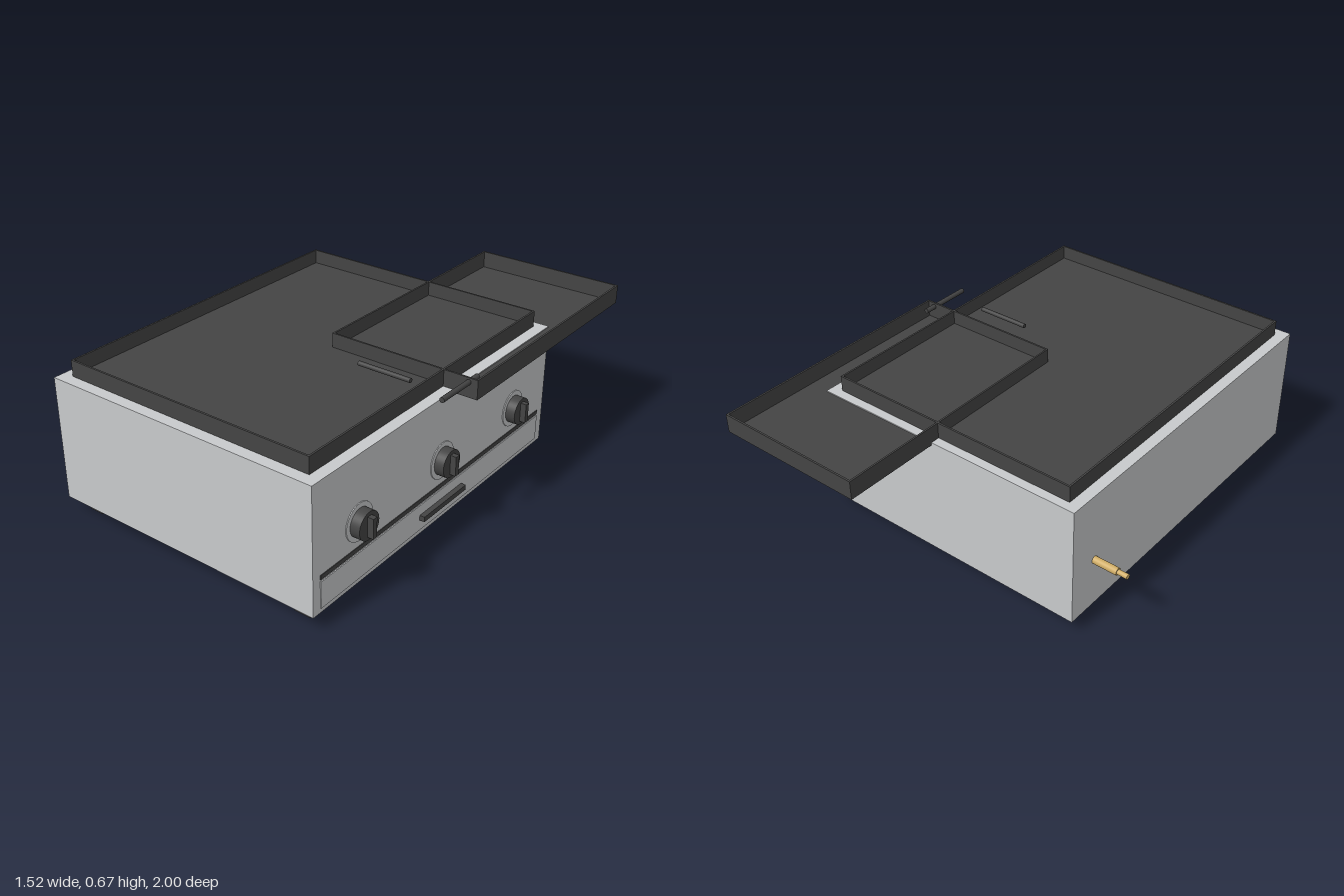
import * as THREE from 'three';

const mat = (name, color) => new THREE.MeshStandardMaterial({ name, color });

export function createModel() {
  const steel = mat('brushed steel', 0xc8cacc);
  const iron = mat('dark iron', 0x444444);
  const brass = mat('brass', 0xd0ad66);
  const model = new THREE.Group();
  model.name = 'tabletopGriddle';

  const add = (parent, name, geometry, material, x, y, z) => {
    const mesh = new THREE.Mesh(geometry, material);
    mesh.name = name;
    mesh.position.set(x, y, z);
    parent.add(mesh);
    return mesh;
  };
  // Box given by its limits on each axis
  const block = (parent, name, material, [x0, x1], [y0, y1], [z0, z1]) =>
    add(parent, name, new THREE.BoxGeometry(x1 - x0, y1 - y0, z1 - z0), material,
      (x0 + x1) / 2, (y0 + y1) / 2, (z0 + z1) / 2);
  // Cylinder lying along x or z
  const rod = (parent, name, material, axis, radius, length, x, y, z, sides = 24) => {
    const g = new THREE.CylinderGeometry(radius, radius, length, sides);
    if (axis === 'x') g.rotateZ(-Math.PI / 2);
    else g.rotateX(Math.PI / 2);
    return add(parent, name, g, material, x, y, z);
  };
  // Open tray: floor and four thin walls
  const tray = (name, [x0, x1], [y0, y1], [z0, z1], floorTop) => {
    const t = 0.008;
    const group = new THREE.Group();
    group.name = name;
    block(group, 'floor', iron, [x0, x1], [y0, floorTop], [z0, z1]);
    block(group, 'leftWall', iron, [x0, x0 + t], [floorTop, y1], [z0, z1]);
    block(group, 'rightWall', iron, [x1 - t, x1], [floorTop, y1], [z0, z1]);
    block(group, 'backWall', iron, [x0 + t, x1 - t], [floorTop, y1], [z0, z0 + t]);
    block(group, 'frontWall', iron, [x0 + t, x1 - t], [floorTop, y1], [z1 - t, z1]);
    model.add(group);
    return group;
  };

  // Cabinet and feet
  block(model, 'body', steel, [-0.605, 0.66], [0.062, 0.6], [-0.575, 1]);
  for (const x of [-0.51, 0.565])
    for (const z of [-0.48, 0.91])
      block(model, 'foot', iron, [x - 0.035, x + 0.035], [0, 0.062], [z - 0.035, z + 0.035]);

  // Cooking plate and the offset tray that overlaps it
  tray('griddlePlate', [-0.555, 0.61], [0.598, 0.67], [-0.535, 0.95], 0.608);
  const side = tray('sideTray', [0.08, 0.76], [0.588, 0.67], [-1, 0.15], 0.596);
  rod(side, 'trayHandle', iron, 'z', 0.011, 0.24, 0.72, 0.652, 0.21, 16);
  rod(model, 'plateRod', iron, 'x', 0.01, 0.24, 0.42, 0.648, 0.265, 16);

  // Control knobs with thin bezels and raised grips
  for (const z of [0.74, 0.215, -0.31]) {
    const knob = new THREE.Group();
    knob.name = 'knob';
    knob.position.set(0.66, 0.325, z);
    rod(knob, 'bezel', steel, 'x', 0.078, 0.004, 0.002, 0, 0, 40);
    rod(knob, 'knobBase', iron, 'x', 0.058, 0.045, 0.0225, 0, 0, 40);
    block(knob, 'knobGrip', iron, [0.045, 0.07], [-0.042, 0.042], [-0.011, 0.011]);
    model.add(knob);
  }

  // Drip drawer below a dark seam
  block(model, 'drawerSeam', iron, [0.655, 0.663], [0.203, 0.221], [-0.53, 0.96]);
  block(model, 'drawerFront', steel, [0.655, 0.664], [0.082, 0.195], [-0.53, 0.96]);
  block(model, 'drawerHandle', iron, [0.664, 0.686], [0.129, 0.151], [0.07, 0.36]);

  // Stepped gas inlet
  rod(model, 'gasInlet', brass, 'x', 0.016, 0.115, -0.6575, 0.288, -0.44);
  rod(model, 'gasNozzle', brass, 'x', 0.011, 0.05, -0.735, 0.288, -0.44);

  return model;
}
